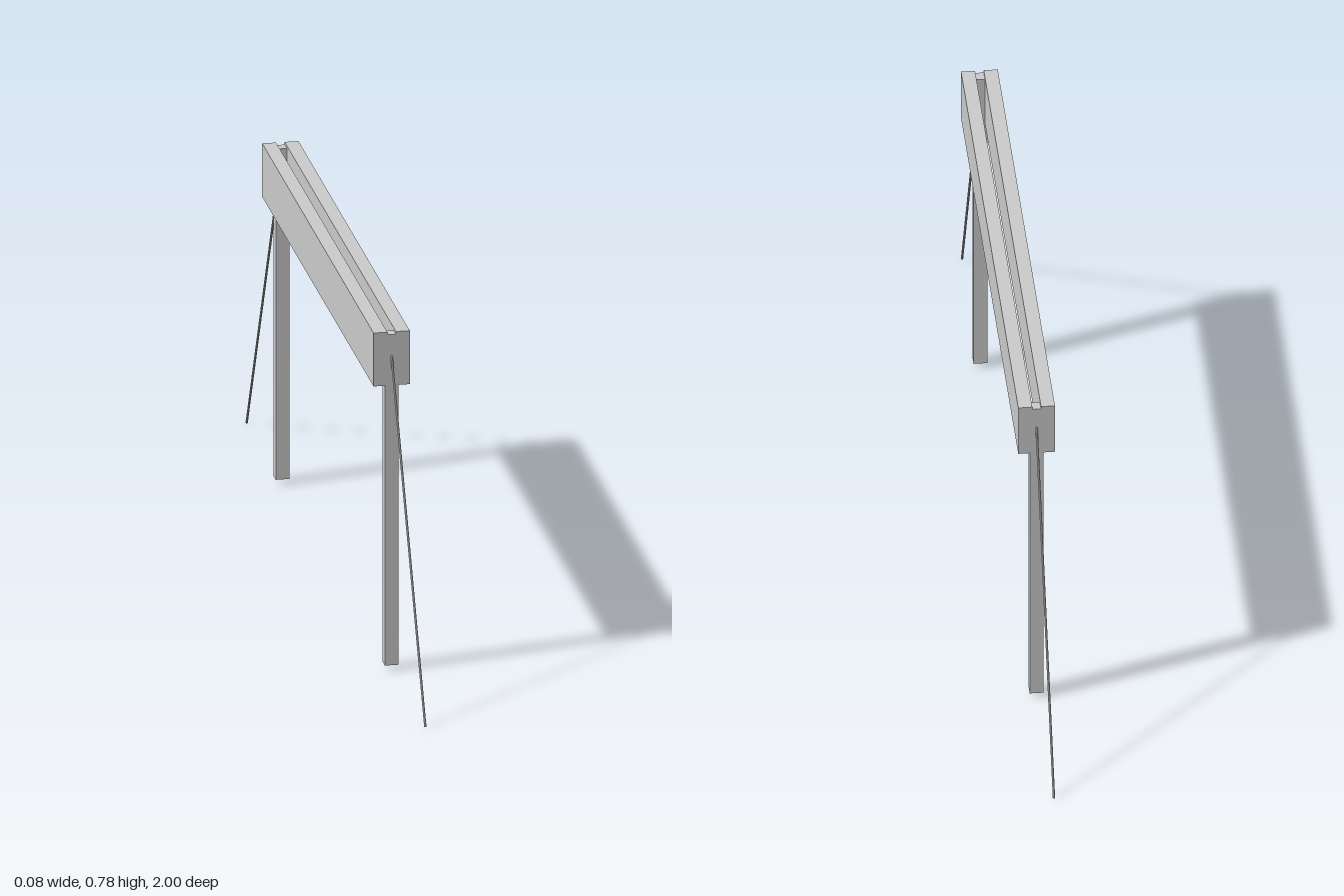
import * as THREE from 'three';

export function createModel() {
  const group = new THREE.Group();
  const material = new THREE.MeshStandardMaterial({ color: 0xcccccc, flatShading: true });
  const END = 0.622;               // half length of the beam
  const BOTTOM = 0.655, TOP = 0.778; // beam heights

  const box = (name, x0, x1, y0, y1, z0, z1) => {
    const mesh = new THREE.Mesh(new THREE.BoxGeometry(x1 - x0, y1 - y0, z1 - z0), material);
    mesh.position.set((x0 + x1) / 2, (y0 + y1) / 2, (z0 + z1) / 2);
    mesh.name = name;
    group.add(mesh);
  };

  // twin beam boards with a narrow slot between them
  box('leftBoard', 0.0095, 0.04, BOTTOM, TOP, -END, END);
  box('rightBoard', -0.04, -0.0095, BOTTOM, TOP, -END, END);

  for (const [side, s] of [['front', 1], ['back', -1]]) {
    const z0 = Math.min(s * END, s * 0.597), z1 = Math.max(s * END, s * 0.597);
    // post, with a narrower tenon clamped between the boards
    box(side + 'Post', -0.015, 0.015, 0.011, BOTTOM, z0, z1);
    box(side + 'Tenon', -0.0095, 0.0095, BOTTOM, 0.772, z0, z1);

    // guy rope from the post down to the ground
    const top = new THREE.Vector3(0, 0.723, s * 0.62);
    const foot = new THREE.Vector3(0, 0.001, s * 0.998);
    const dir = top.clone().sub(foot);
    const rope = new THREE.Mesh(new THREE.CylinderGeometry(0.0026, 0.0026, dir.length(), 8), material);
    rope.position.copy(top).add(foot).multiplyScalar(0.5);
    rope.quaternion.setFromUnitVectors(new THREE.Vector3(0, 1, 0), dir.normalize());
    rope.name = side + 'Rope';
    group.add(rope);
  }
  return group;
}
